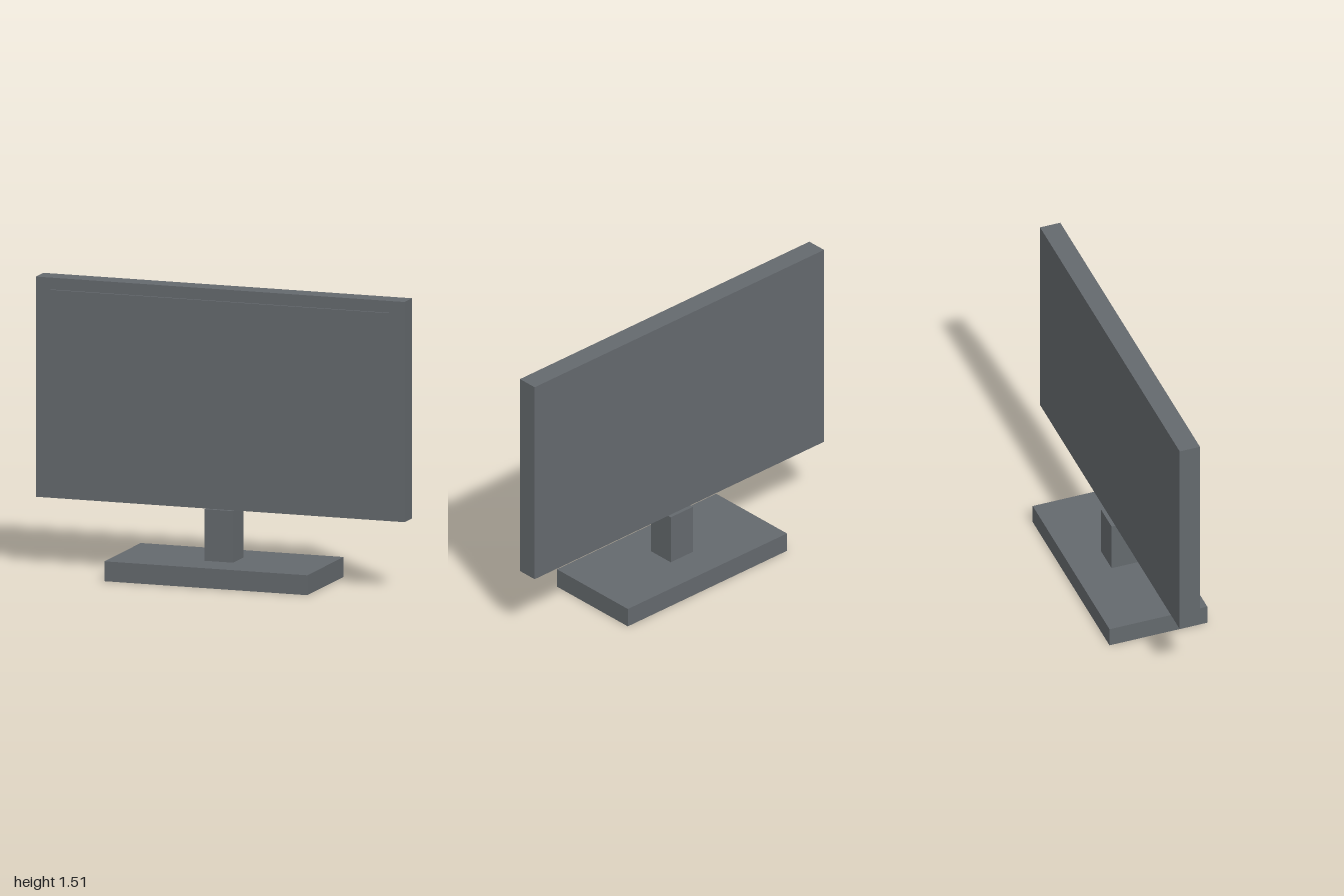
import * as THREE from 'three';

export function createModel() {
  const model = new THREE.Group();
  model.name = 'monitor';
  const greyPlastic = new THREE.MeshStandardMaterial({ color: 0x64696d });
  greyPlastic.name = 'slate grey';

  // Box given by its width, bottom and top heights, back and front depths
  function addBox(name, width, bottom, top, back, front) {
    const geometry = new THREE.BoxGeometry(width, top - bottom, front - back);
    const mesh = new THREE.Mesh(geometry, greyPlastic);
    mesh.name = name;
    mesh.position.set(0, (bottom + top) / 2, (back + front) / 2);
    model.add(mesh);
  }

  // Stand
  addBox('base', 1.1, 0, 0.103, -0.266, 0.266);
  addBox('neck', 0.155, 0.103, 0.37, -0.075, 0.075);

  // Display: casing with a slightly raised screen panel
  addBox('casing', 2, 0.37, 1.51, -0.055, 0.055);
  addBox('screen', 1.835, 0.433, 1.449, 0.055, 0.067);

  return model;
}
